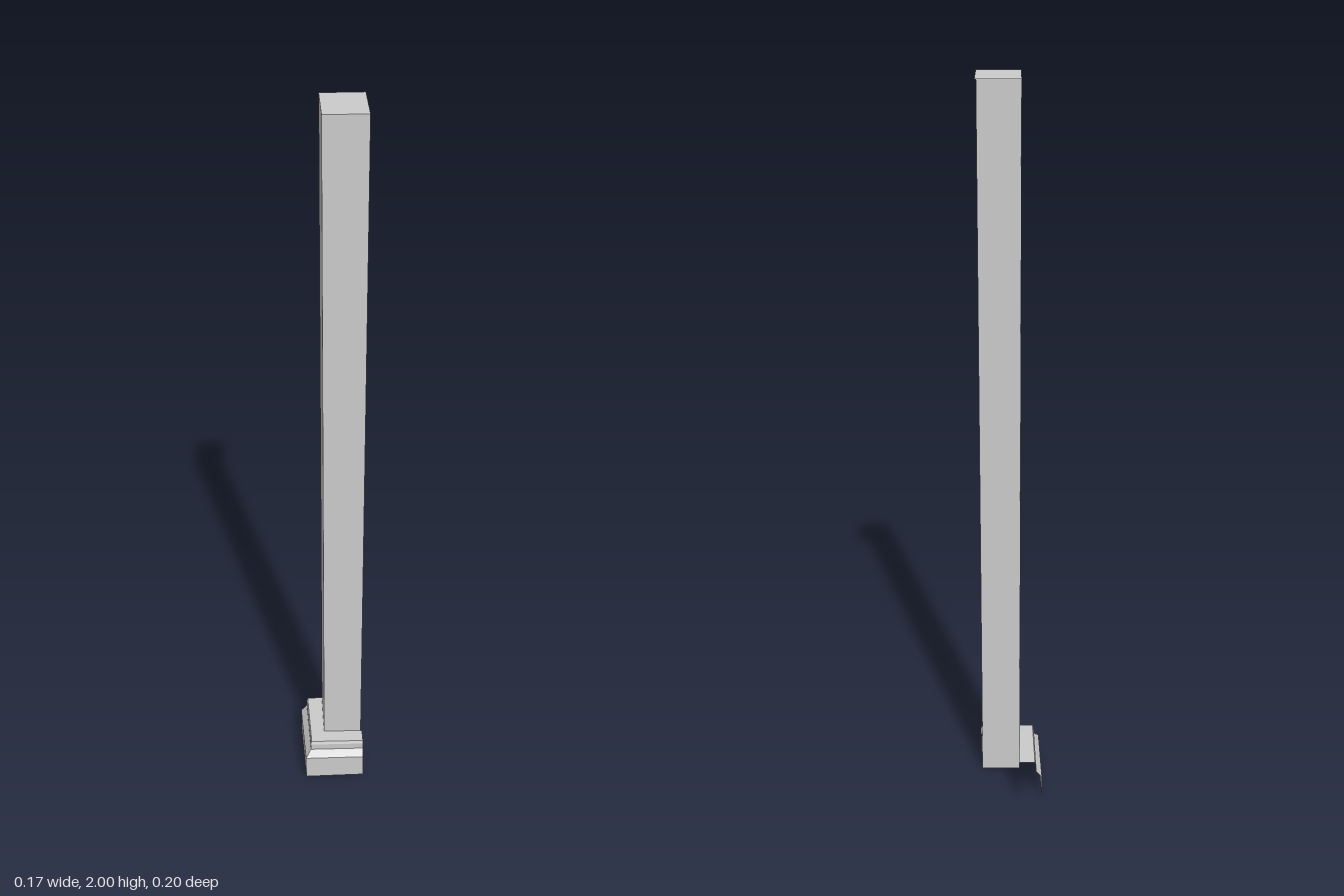
import * as THREE from 'three';

const material = new THREE.MeshStandardMaterial({
  color: 0xcccccc, flatShading: true, side: THREE.DoubleSide,
});

// Skin a grid of rows of [x, y, z] points with flat quads.
function loft(name, rows) {
  const pos = [];
  for (let j = 0; j < rows.length - 1; j++) {
    for (let i = 0; i < rows[j].length - 1; i++) {
      const a = rows[j][i], b = rows[j][i + 1];
      const c = rows[j + 1][i + 1], d = rows[j + 1][i];
      pos.push(...a, ...b, ...c, ...a, ...c, ...d);
    }
  }
  const geometry = new THREE.BufferGeometry();
  geometry.setAttribute('position', new THREE.Float32BufferAttribute(pos, 3));
  geometry.computeVertexNormals();
  const mesh = new THREE.Mesh(geometry, material);
  mesh.name = name;
  return mesh;
}

export function createModel() {
  const group = new THREE.Group();
  group.name = 'cornerPost';
  const x0 = -0.025, x1 = 0.083, z0 = -0.102, z1 = 0.04, height = 2;

  // Two outer walls of the post, open at the back and at the +x side
  group.add(loft('postWalls', [0, height].map(
    (y) => [[x0, y, z0], [x0, y, z1], [x1, y, z1]])));

  // Flat cap
  group.add(loft('postCap', [z1, z0].map(
    (z) => [[x0, height, z], [x1, height, z]])));

  // Stepped skirting: profile of [share of depth, height], swept round the corner
  const profile = [[1, 0], [1, 0.075], [0.73, 0.095], [0.74, 0.115], [0.68, 0.124], [0, 0.124]];
  // Inner and outer plan points at each end and at the mitre, with height scale
  const stations = [
    { inner: [x0, z0], outer: [-0.088, z0], scale: 1 },
    { inner: [x0, z1], outer: [-0.081, 0.1], scale: 1 },
    { inner: [0.087, z1], outer: [0.087, 0.1], scale: 0.97 },
  ];
  group.add(loft('skirting', profile.map(([t, y]) => stations.map((s) => [
    THREE.MathUtils.lerp(s.inner[0], s.outer[0], t),
    y * s.scale,
    THREE.MathUtils.lerp(s.inner[1], s.outer[1], t),
  ]))));

  return group;
}
